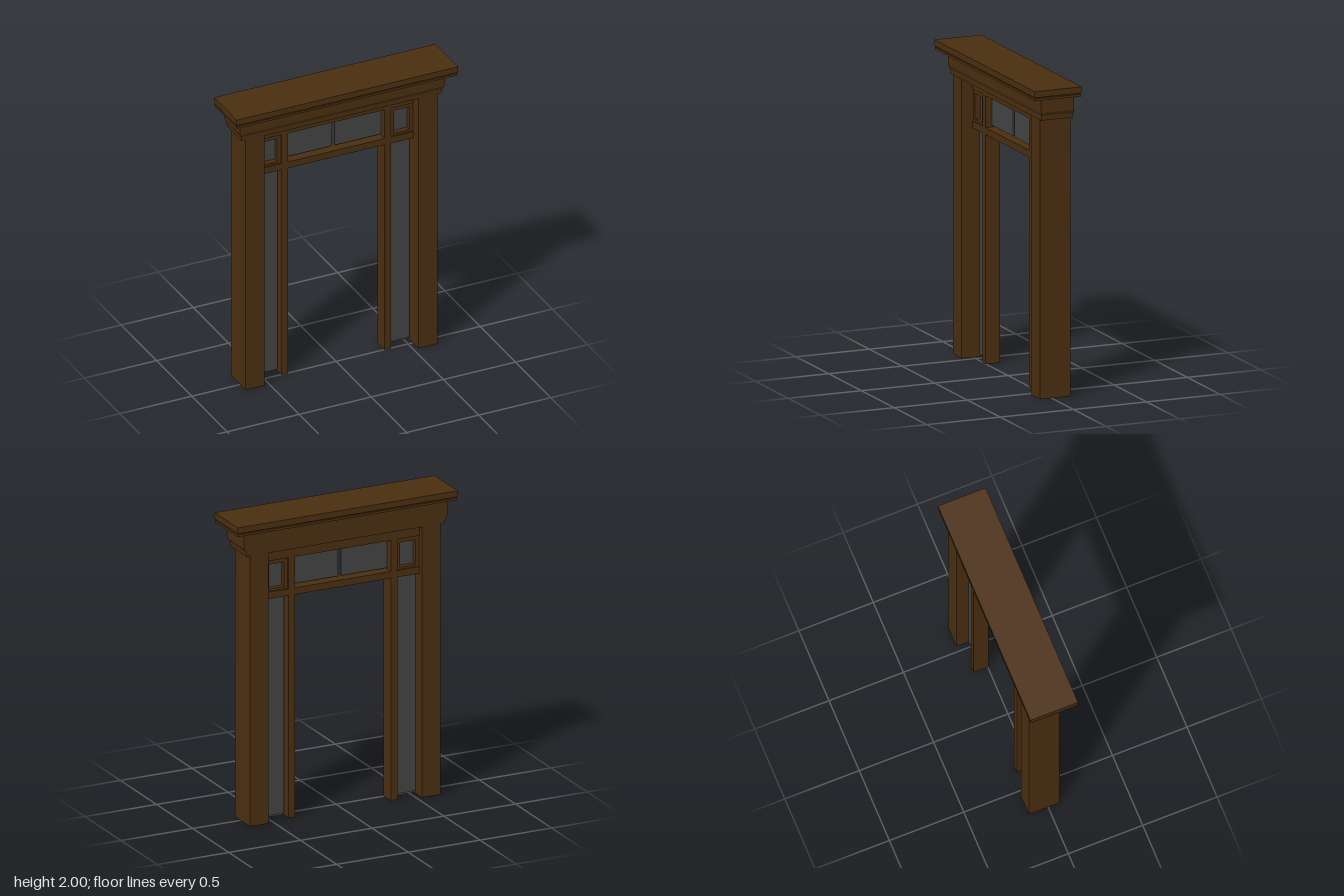
import * as THREE from 'three';

export function createModel() {
  const model = new THREE.Group();
  model.name = 'doorSurround';
  const wood = new THREE.MeshStandardMaterial({ color: 0x4a2e10, side: THREE.DoubleSide });
  wood.name = 'dark wood';
  const glass = new THREE.MeshStandardMaterial({ color: 0x444444 });
  glass.name = 'smoked glass';

  function add(name, geometry, material = wood) {
    const mesh = new THREE.Mesh(geometry, material);
    mesh.name = name;
    model.add(mesh);
    return mesh;
  }
  // Box given by its limits on each axis
  function box(name, [x0, x1], [y0, y1], [z0, z1], material = wood) {
    const g = new THREE.BoxGeometry(x1 - x0, y1 - y0, z1 - z0);
    g.translate((x0 + x1) / 2, (y0 + y1) / 2, (z0 + z1) / 2);
    return add(name, g, material);
  }
  // Hollow post: a box without its bottom face
  function post(name, x, y, z) {
    const g = box(name, x, y, z).geometry;
    const index = Array.from(g.index.array);
    index.splice(18, 6);
    g.setIndex(index);
    g.clearGroups();
  }
  // Range on one side of the model, mirrored for s = -1
  const side = (s, a, b) => (s > 0 ? [a, b] : [-b, -a]);

  const frameZ = [-0.095, 0.005];
  const glassZ = [-0.05, -0.04];

  for (const s of [1, -1]) {
    const p = s > 0 ? 'left' : 'right';
    post(p + 'Pillar', side(s, 0.535, 0.665), [0, 1.79], [-0.13, 0.077]);
    post(p + 'Mullion', side(s, 0.335, 0.38), [0, 1.72], frameZ);
    box(p + 'Sidelight', side(s, 0.387, 0.528), [0.02, 1.469], glassZ, glass);

    // Small framed window above the sidelight
    const [x0, x1] = side(s, 0.38, 0.535);
    const [h0, h1] = side(s, 0.405, 0.512);
    const shape = new THREE.Shape([[x0, 1.515], [x1, 1.515], [x1, 1.72], [x0, 1.72]]
      .map(([x, y]) => new THREE.Vector2(x, y)));
    shape.holes.push(new THREE.Path([[h0, 1.53], [h0, 1.693], [h1, 1.693], [h1, 1.53]]
      .map(([x, y]) => new THREE.Vector2(x, y))));
    const frame = new THREE.ExtrudeGeometry(shape, { depth: 0.08, bevelEnabled: false });
    frame.translate(0, 0, -0.085);
    add(p + 'WindowFrame', frame);
    box(p + 'WindowPane', [h0, h1], [1.53, 1.693], glassZ, glass);

    box(p + 'TransomPane', side(s, 0.01, 0.332), [1.526, 1.708], glassZ, glass);
  }

  // Rails across the opening
  box('transomRail', [-0.535, 0.535], [1.47, 1.515], frameZ);
  box('headBoard', [-0.535, 0.535], [1.72, 1.79], frameZ);

  // Frieze: rectangles [y, half width, front z] stacked into a moulding, flat at the back
  const levels = [[1.79, 0.693, 0.081], [1.82, 0.695, 0.082], [1.842, 0.71, 0.092], [1.94, 0.71, 0.092]];
  const backZ = -0.135;
  const positions = [];
  const indices = [];
  for (const [y, w, z] of levels) {
    positions.push(-w, y, z, w, y, z, w, y, backZ, -w, y, backZ);
  }
  for (let i = 0; i < levels.length - 1; i++) {
    for (let j = 0; j < 4; j++) {
      const a = i * 4 + j, b = i * 4 + (j + 1) % 4;
      indices.push(a, b, b + 4, a, b + 4, a + 4);
    }
  }
  const t = (levels.length - 1) * 4;
  indices.push(0, 2, 1, 0, 3, 2, t, t + 1, t + 2, t, t + 2, t + 3);
  let frieze = new THREE.BufferGeometry();
  frieze.setAttribute('position', new THREE.Float32BufferAttribute(positions, 3));
  frieze.setIndex(indices);
  frieze = frieze.toNonIndexed();
  frieze.computeVertexNormals();
  add('frieze', frieze);

  // Cornice: two slabs with a narrow groove between them
  box('corniceLower', [-0.765, 0.765], [1.938, 1.953], [-0.158, 0.158]);
  box('corniceGroove', [-0.755, 0.755], [1.953, 1.96], [-0.148, 0.148]);
  box('corniceTop', [-0.767, 0.767], [1.96, 2], [-0.16, 0.16]);

  return model;
}
